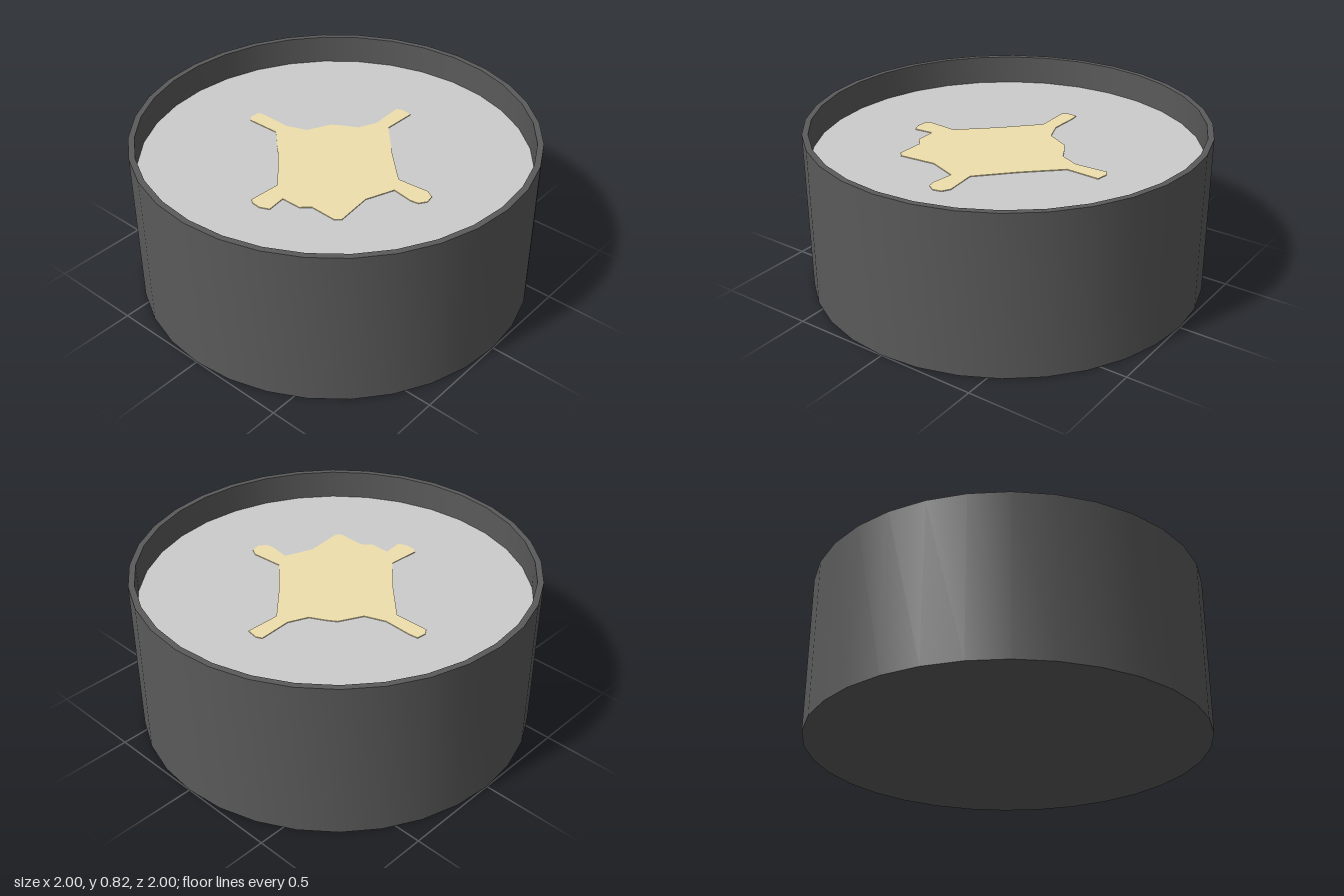
import * as THREE from 'three';
import { toCreasedNormals } from 'three/addons/utils/BufferGeometryUtils.js';

const SIDES = 32;
const HEIGHT = 0.82;
const INNER = 0.97;
const FLOOR = 0.05;
const FILL = 0.67;

function part(name, geometry, color) {
  const mesh = new THREE.Mesh(geometry, new THREE.MeshStandardMaterial({ color }));
  mesh.name = name;
  return mesh;
}

export function createModel() {
  const group = new THREE.Group();
  group.name = 'roundTub';

  // Open tub: base, outer wall, flat rim, inner wall and floor
  const profile = [
    [0, 0], [1, 0], [1, HEIGHT], [INNER, HEIGHT], [INNER, FLOOR], [0, FLOOR],
  ].map(([r, y]) => new THREE.Vector2(r, y));
  const tub = toCreasedNormals(new THREE.LatheGeometry(profile, SIDES), Math.PI / 6);
  group.add(part('tub', tub, 0x5a5a5a));

  // Flat filling surface below the rim
  const fill = new THREE.CylinderGeometry(INNER, INNER, FILL - FLOOR, SIDES);
  fill.translate(0, (FILL + FLOOR) / 2, 0);
  group.add(part('filling', fill, 0xcccccc));

  // Four-limbed flat patch, outline given as x, z
  const outline = [
    [-0.04, -0.55], [-0.01, -0.57], [0.04, -0.565], [0.045, -0.52], [0.04, -0.37],
    [0.08, -0.265], [0.2, -0.205], [0.23, -0.16], [0.27, -0.083], [0.37, -0.04],
    [0.54, -0.05], [0.555, -0.02], [0.545, 0.04], [0.37, 0.035], [0.2, 0.195],
    [0.04, 0.365], [0.053, 0.53], [0.03, 0.57], [-0.015, 0.58], [-0.053, 0.555],
    [-0.06, 0.515], [-0.043, 0.405], [-0.19, 0.35], [-0.38, 0.37], [-0.405, 0.345],
    [-0.4, 0.205], [-0.44, 0.16], [-0.44, 0.056], [-0.54, 0.067], [-0.56, 0.02],
    [-0.555, -0.03], [-0.54, -0.05], [-0.375, -0.04], [-0.2, -0.2], [-0.037, -0.37],
  ];
  const shape = new THREE.Shape(outline.map(([x, z]) => new THREE.Vector2(x, -z)));
  const patch = new THREE.ExtrudeGeometry(shape, { depth: 0.004, bevelEnabled: false });
  patch.rotateX(-Math.PI / 2);
  patch.translate(0, FILL, 0);
  group.add(part('patch', patch, 0xeedfab));

  return group;
}
